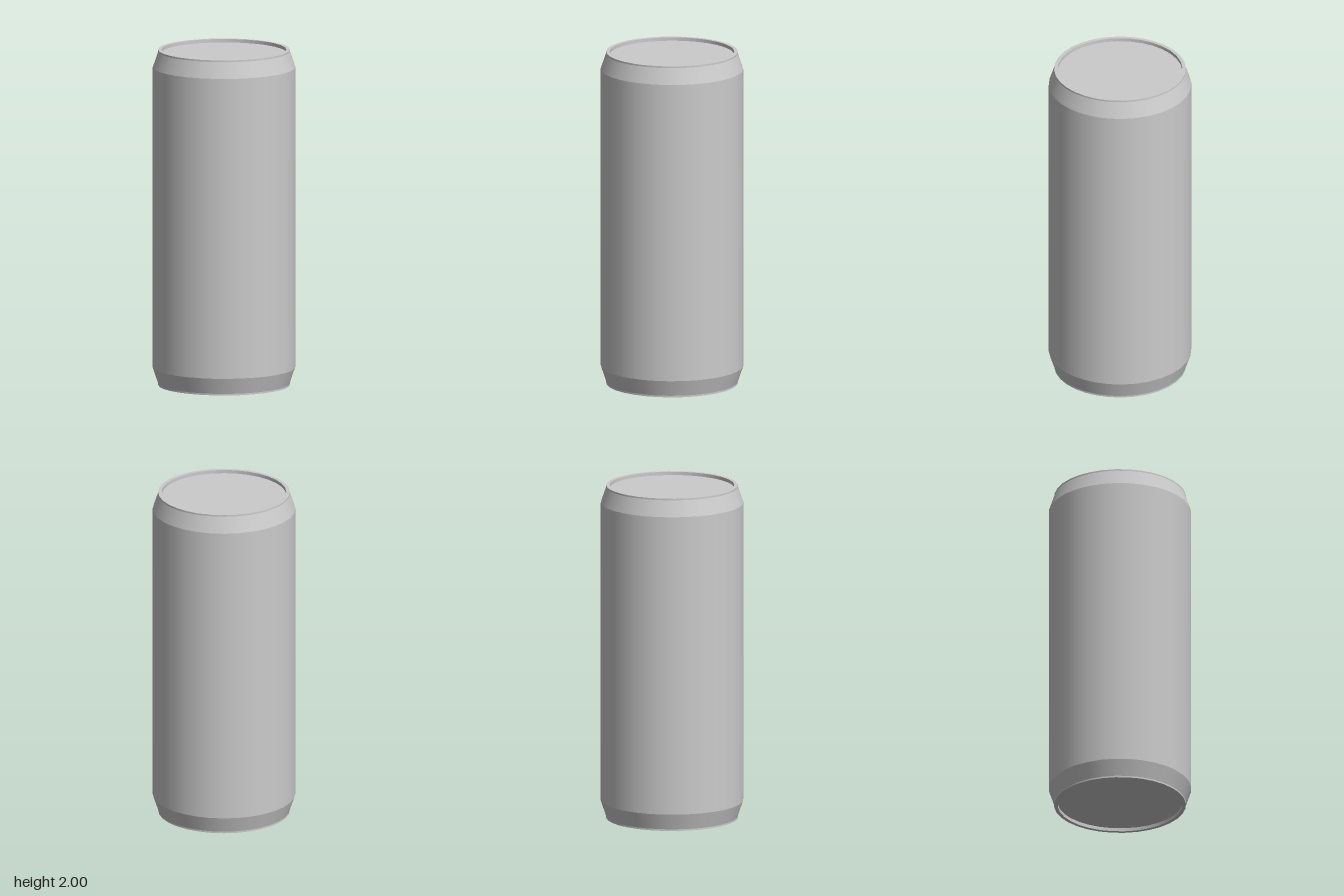
import * as THREE from 'three';

const SIDES = 32;
const BODY_R = 0.42, RIM_R = 0.388, INNER_R = 0.367;
const HEIGHT = 2, SHOULDER = 0.105, LIP = 0.01, RECESS = 0.02;

export function createModel() {
  const can = new THREE.Group();
  can.name = 'can';
  const material = new THREE.MeshStandardMaterial({ color: 0xcccccc });

  // one ring per profile segment, so edges between segments stay sharp
  function ring(name, from, to) {
    const points = [from, to].map(([r, y]) => new THREE.Vector2(r, y));
    const mesh = new THREE.Mesh(new THREE.LatheGeometry(points, SIDES), material);
    mesh.name = name;
    can.add(mesh);
  }

  // outline from the centre of the base, up the outside, to the centre of the lid
  const profile = [
    [0, RECESS],
    [INNER_R, RECESS],
    [INNER_R, 0],
    [RIM_R, 0],
    [RIM_R, LIP],
    [BODY_R, SHOULDER],
    [BODY_R, HEIGHT - SHOULDER],
    [RIM_R, HEIGHT - LIP],
    [RIM_R, HEIGHT],
    [INNER_R, HEIGHT],
    [INNER_R, HEIGHT - RECESS],
    [0, HEIGHT - RECESS],
  ];
  const names = [
    'base', 'bottomRimInside', 'bottomRim', 'bottomLip', 'bottomTaper', 'body',
    'topTaper', 'topLip', 'topRim', 'topRimInside', 'lid',
  ];
  names.forEach((name, i) => ring(name, profile[i], profile[i + 1]));

  return can;
}
